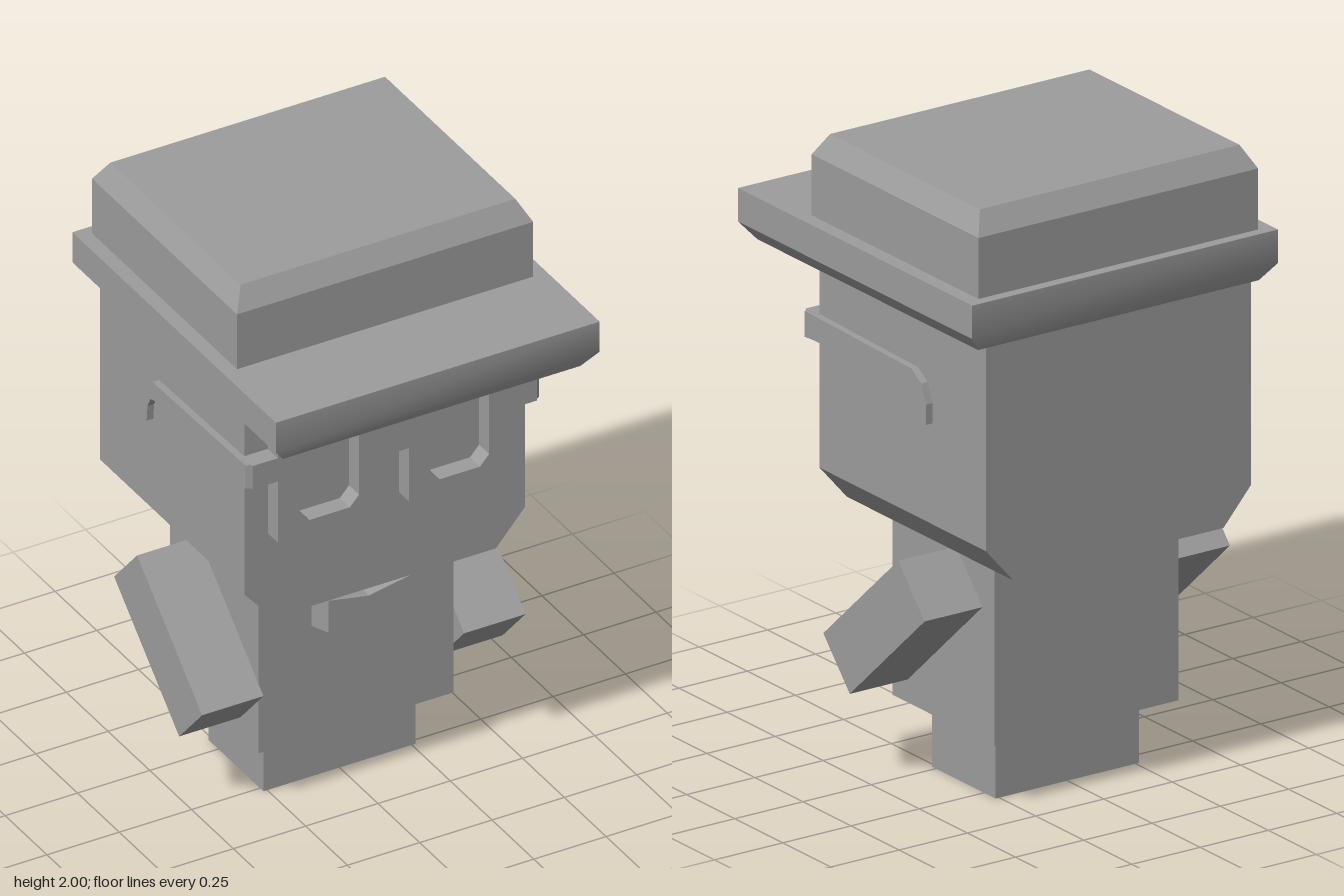
import * as THREE from 'three';
import { toCreasedNormals } from 'three/addons/utils/BufferGeometryUtils.js';

export function createModel() {
  const model = new THREE.Group();
  const material = new THREE.MeshStandardMaterial({ color: 0x9c9c9c });

  const add = (name, geometry) => {
    const mesh = new THREE.Mesh(geometry, material);
    mesh.name = name;
    model.add(mesh);
    return mesh;
  };

  // Box given by its limits on each axis
  const block = (name, x0, x1, y0, y1, z0, z1) =>
    add(name, new THREE.BoxGeometry(x1 - x0, y1 - y0, z1 - z0)
      .translate((x0 + x1) / 2, (y0 + y1) / 2, (z0 + z1) / 2));

  // Stack of three rectangles, bottom to top: [y, half width, back z, front z]
  const stack = (levels, crease) => {
    const g = new THREE.BoxGeometry(2, 2, 2, 1, 2, 1);
    const p = g.attributes.position;
    for (let i = 0; i < p.count; i++) {
      const [y, hw, back, front] = levels[Math.round(p.getY(i)) + 1];
      p.setXYZ(i, p.getX(i) * hw, y, p.getZ(i) < 0 ? back : front);
    }
    return toCreasedNormals(g, crease);
  };

  const points = (list) => list.map(([x, y]) => new THREE.Vector2(x, y));
  const mirrored = (half) => [...half, ...half.map(([x, y]) => [-x, y]).reverse()];
  const extrude = (shape, depth) =>
    new THREE.ExtrudeGeometry(shape, { depth, bevelEnabled: false });

  // Body
  block('legs', -0.263, 0.263, 0, 0.215, -0.31, 0.02);
  block('torso', -0.337, 0.337, 0.215, 0.807, -0.41, 0.12);

  // Arms, tilted forward
  for (const [name, side] of [['leftArm', 1], ['rightArm', -1]]) {
    const arm = add(name, new THREE.BoxGeometry(0.212, 0.205, 0.525));
    arm.position.set(side * 0.453, 0.547, -0.098);
    arm.rotation.x = 0.735;
  }

  // Head with a chamfered jaw on both sides
  const headShape = new THREE.Shape(points(mirrored(
    [[0.385, 0.807], [0.485, 0.922], [0.485, 1.6]])));
  add('head', extrude(headShape, 0.865).translate(0, 0, -0.575));

  // Hat
  add('hatBrim', stack([
    [1.572, 0.514, -0.575, 0.572],
    [1.628, 0.56, -0.61, 0.608],
    [1.735, 0.56, -0.61, 0.608]], 0.64));
  add('hatCrown', stack([
    [1.735, 0.512, -0.575, 0.293],
    [1.93, 0.512, -0.575, 0.293],
    [2, 0.475, -0.53, 0.25]], 0.3));

  // Bow tie, its front face smaller than its back
  const bowShape = new THREE.Shape(points([
    [0, -0.04], [0.155, -0.07], [0.155, 0.068],
    [0, 0.036], [-0.155, 0.068], [-0.155, -0.07]]));
  const bow = extrude(bowShape, 0.075);
  const bp = bow.attributes.position;
  for (let i = 0; i < bp.count; i++) {
    if (bp.getZ(i) > 0.01) bp.setXY(i, bp.getX(i) * 0.9, bp.getY(i) * 0.82);
  }
  bow.computeVertexNormals();
  add('bowTie', bow.translate(0, 0.68, 0.12));

  // Glasses frame: two rims, bridge and hinges in one outline
  const frameShape = new THREE.Shape(points(mirrored([
    [0.05, 1.305], [0.05, 1.115], [0.08, 1.085], [0.375, 1.085],
    [0.404, 1.115], [0.404, 1.332], [0.492, 1.332], [0.492, 1.415],
    [0.404, 1.415], [0.404, 1.468], [0.358, 1.535], [0.096, 1.535],
    [0.05, 1.468], [0.05, 1.415]])));
  for (const side of [1, -1]) {
    frameShape.holes.push(new THREE.Path(points([
      [0.155, 1.16], [0.295, 1.16], [0.327, 1.195], [0.327, 1.443],
      [0.31, 1.46], [0.14, 1.46], [0.123, 1.443], [0.123, 1.195],
    ].map(([x, y]) => [side * x, y]))));
  }
  add('glassesFrame', extrude(frameShape, 0.06).translate(0, 0, 0.29));

  // Glasses temples, drawn as (z, y), turned to the sides of the head,
  // with the outer front corner cut back
  const templeShape = new THREE.Shape(points([
    [0.35, 1.332], [0.29, 1.335], [-0.2, 1.343], [-0.232, 1.335],
    [-0.25, 1.3], [-0.255, 1.245], [-0.297, 1.245], [-0.297, 1.31],
    [-0.272, 1.37], [-0.22, 1.402], [0.29, 1.414], [0.35, 1.415]]));
  for (const [name, side, x] of [['leftTemple', 1, 0.508], ['rightTemple', -1, -0.48]]) {
    const temple = extrude(templeShape, 0.028).rotateY(-Math.PI / 2).translate(x, 0, 0);
    const p = temple.attributes.position;
    for (let i = 0; i < p.count; i++) {
      if (p.getZ(i) > 0.34 && p.getX(i) * side > 0.5) p.setZ(i, 0.335);
    }
    temple.computeVertexNormals();
    add(name, temple);
  }

  return model;
}
